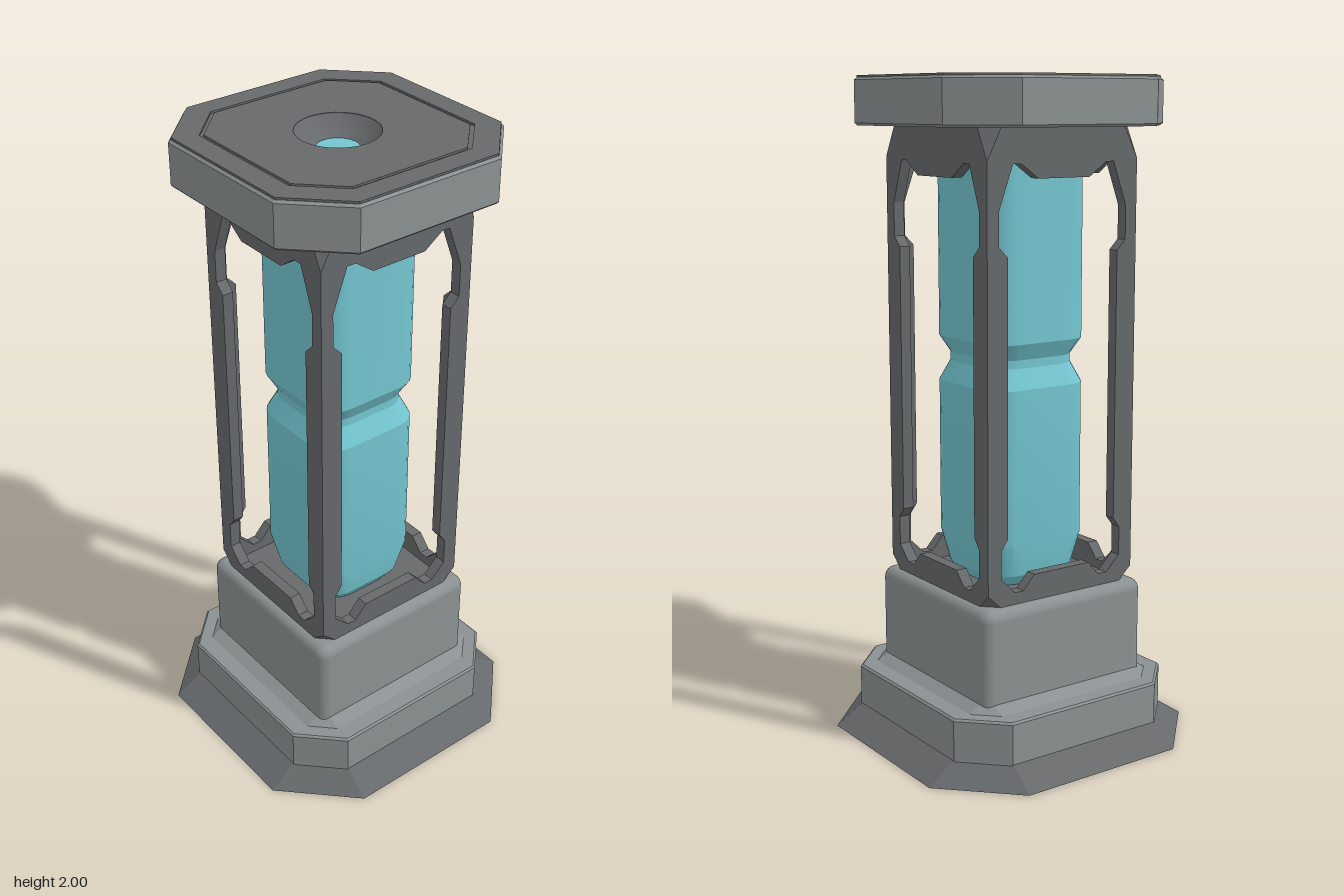
import * as THREE from 'three';
import { toCreasedNormals } from 'three/addons/utils/BufferGeometryUtils.js';
import { ConvexGeometry } from 'three/addons/geometries/ConvexGeometry.js';
import { RoundedBoxGeometry } from 'three/addons/geometries/RoundedBoxGeometry.js';

const mat = (name, color, side = THREE.FrontSide) => {
  const m = new THREE.MeshStandardMaterial({ color, side });
  m.name = name;
  return m;
};

// Chamfered square: half width a, half length f of each straight side
const octagon = (a, f) =>
  [[a, -f], [a, f], [f, a], [-f, a], [-a, f], [-a, -f], [-f, -a], [f, -a]]
    .map(([x, y]) => new THREE.Vector2(x, y));

// Solid through stacked octagons, each given as [y, a, f]
const octagonSolid = (...rings) => new ConvexGeometry(
  rings.flatMap(([y, a, f]) => octagon(a, f).map(p => new THREE.Vector3(p.x, y, p.y))));

// Horizontal plate with an optional hole, from height y upwards
function plate(outline, hole, y, height, bevel = 0) {
  const shape = new THREE.Shape(outline);
  if (hole) shape.holes.push(hole);
  const geo = new THREE.ExtrudeGeometry(shape, {
    depth: height - 2 * bevel, bevelEnabled: bevel > 0, bevelSize: bevel,
    bevelThickness: bevel, bevelOffset: -bevel, bevelSegments: 1, curveSegments: 16,
  });
  return geo.rotateX(-Math.PI / 2).translate(0, y + bevel, 0);
}

const circle = r => new THREE.Path().absarc(0, 0, r, 0, Math.PI * 2, true);

// Closed loft through rounded squares, each given as [y, half width, corner radius]
function roundedSquareLoft(rings) {
  const pos = [], idx = [], seg = 6, n = 4 * (seg + 1);
  for (const [y, a, r] of rings)
    for (let c = 0; c < 4; c++)
      for (let s = 0; s <= seg; s++) {
        const mid = Math.PI / 4 + c * Math.PI / 2;
        const t = (c + s / seg) * Math.PI / 2;
        pos.push(Math.SQRT2 * Math.cos(mid) * (a - r) + r * Math.cos(t), y,
          Math.SQRT2 * Math.sin(mid) * (a - r) + r * Math.sin(t));
      }
  for (let k = 0; k < rings.length - 1; k++)
    for (let i = 0; i < n; i++) {
      const p = k * n + i, q = k * n + (i + 1) % n;
      idx.push(p, p + n, q, q, p + n, q + n);
    }
  const top = (rings.length - 1) * n;
  for (let i = 1; i < n - 1; i++) idx.push(0, i, i + 1, top, top + i + 1, top + i);
  const geo = new THREE.BufferGeometry();
  geo.setAttribute('position', new THREE.Float32BufferAttribute(pos, 3));
  geo.setIndex(idx);
  geo.computeVertexNormals();
  return toCreasedNormals(geo, 0.35);
}

export function createModel() {
  const model = new THREE.Group();
  model.name = 'canister';
  const light = mat('light grey metal', 0x8b9192);
  const dark = mat('dark grey metal', 0x66696b);
  const darkOpen = mat('dark grey sheet', 0x66696b, THREE.DoubleSide);
  const slot = mat('slot grey', 0x404343);
  const cyan = mat('cyan glass', 0x74c6d1);

  const add = (name, geo, material, parent = model) => {
    const mesh = new THREE.Mesh(geo, material);
    mesh.name = name;
    parent.add(mesh);
    return mesh;
  };

  // Foot, slab and pedestal
  add('footSkirt', octagonSolid([0, 0.475, 0.27], [0.06, 0.385, 0.262]), dark);
  add('baseSlab', octagonSolid([0.05, 0.388, 0.266], [0.18, 0.388, 0.266], [0.186, 0.382, 0.263]), light);
  add('pedestalFlare', octagonSolid([0.18, 0.34, 0.262], [0.207, 0.294, 0.262]), light);
  add('pedestal', new RoundedBoxGeometry(0.586, 0.38, 0.586, 4, 0.035).translate(0, 0.3, 0), light);
  add('frameFloor', new THREE.BoxGeometry(0.48, 0.008, 0.48).translate(0, 0.492, 0), dark);
  for (const s of [-1, 1]) {
    const bar = new THREE.Shape();
    bar.absarc(0, 0.28, 0.024, 0, Math.PI);
    bar.absarc(0, -0.28, 0.024, Math.PI, Math.PI * 2);
    const geo = new THREE.ShapeGeometry(bar, 6).rotateX(Math.PI / 2).translate(s * 0.074, -0.001, 0);
    add('undersideSlot', geo, slot);
  }

  // Four frame panels with notched openings and cut corners
  const mirrored = half => [...half, ...half.slice().reverse().map(([x, y]) => [-x, y])]
    .map(p => new THREE.Vector2(...p));
  const panel = new THREE.Shape(mirrored([[0.22, 0.488], [0.265, 0.53], [0.265, 1.765], [0.215, 1.862]]));
  panel.holes.push(new THREE.Path(mirrored([
    [0.1, 0.568], [0.14, 0.525], [0.17, 0.525], [0.218, 0.572], [0.218, 0.66], [0.195, 0.69],
    [0.195, 1.5], [0.225, 1.53], [0.225, 1.63], [0.178, 1.757], [0.15, 1.757], [0.09, 1.715],
  ])));
  const panelGeo = new THREE.ExtrudeGeometry(panel, { depth: 0.035, bevelEnabled: false }).translate(0, 0, 0.23);
  const cornerGeo = new THREE.BufferGeometry().setAttribute('position', new THREE.Float32BufferAttribute([
    0.215, 1.862, 0.265, 0.265, 1.765, 0.265, 0.265, 1.862, 0.215,
    0.22, 0.488, 0.265, 0.265, 0.488, 0.22, 0.265, 0.53, 0.265], 3));
  cornerGeo.computeVertexNormals();
  for (let i = 0; i < 4; i++) {
    const side = new THREE.Group();
    side.name = 'frameSide';
    side.rotation.y = i * Math.PI / 2;
    add('framePanel', panelGeo, dark, side);
    add('frameCornerCut', cornerGeo, darkOpen, side);
    model.add(side);
  }

  // Glass vial with a pinched waist and a neck reaching into the cap
  add('vial', roundedSquareLoft([
    [0.49, 0.13, 0.08], [0.53, 0.158, 0.085], [0.63, 0.178, 0.085], [1.1, 0.178, 0.085],
    [1.16, 0.152, 0.08], [1.185, 0.152, 0.08], [1.235, 0.178, 0.085], [1.87, 0.178, 0.085],
  ]), cyan);
  add('vialNeck', new THREE.CylinderGeometry(0.062, 0.062, 0.09, 24).translate(0, 1.905, 0), cyan);

  // Cap: light rim, dark faces, grooved top and central funnel
  add('cap', plate(octagon(0.388, 0.235), circle(0.13), 1.857, 0.137, 0.007), [dark, light]);
  add('capTopBorder', plate(octagon(0.38, 0.232), new THREE.Path(octagon(0.313, 0.198).reverse()), 1.993, 0.007), dark);
  add('capTopPanel', plate(octagon(0.302, 0.193), circle(0.12), 1.993, 0.007), dark);
  add('capFunnel', new THREE.LatheGeometry(
    [[0.06, 1.945], [0.085, 1.962], [0.107, 1.982], [0.121, 2]].map(p => new THREE.Vector2(...p)), 32), darkOpen);
  return model;
}
